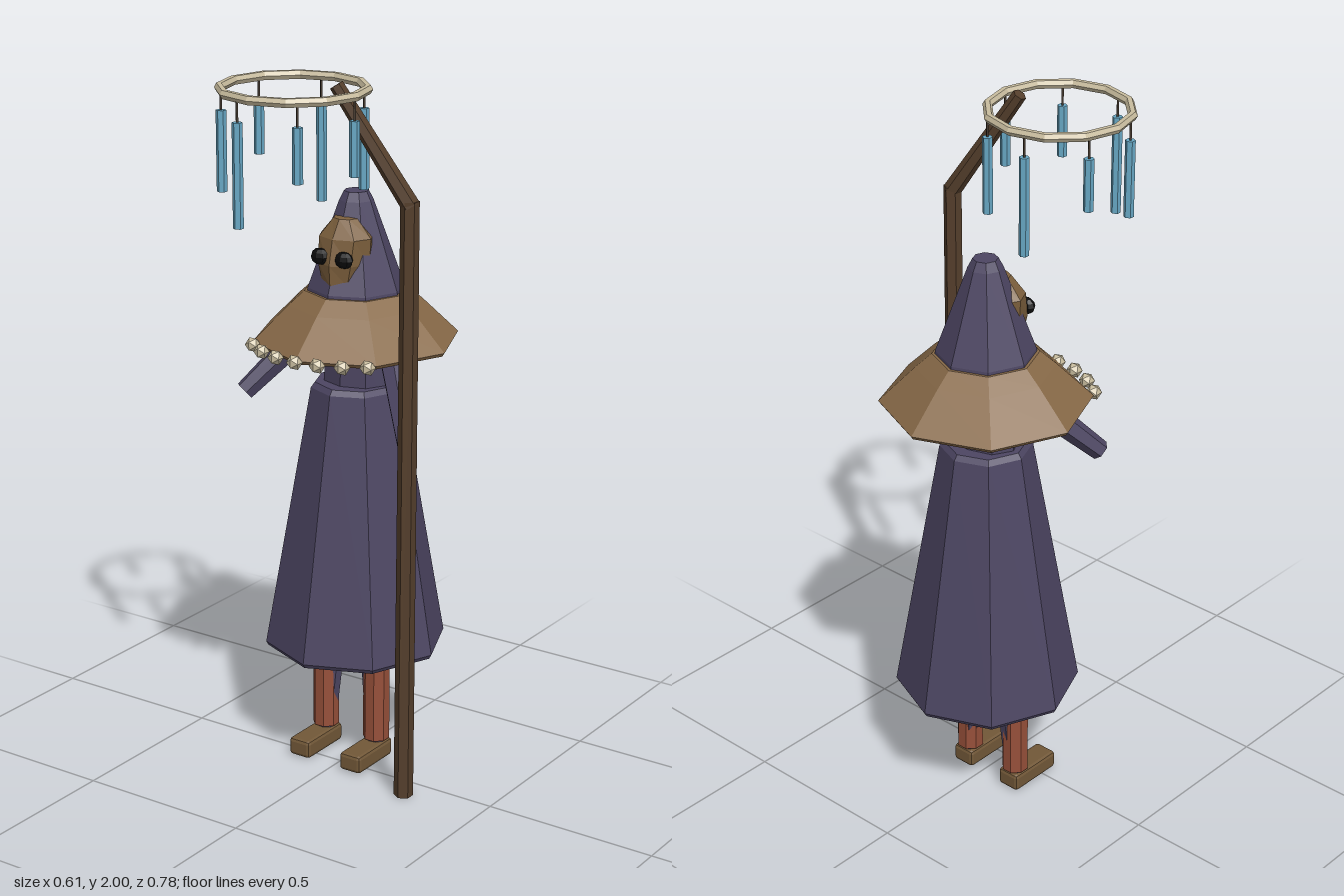
import * as THREE from 'three';
import { RoundedBoxGeometry } from 'three/addons/geometries/RoundedBoxGeometry.js';

const CX = -0.023, CZ = -0.107; // axis of the body

export function createModel() {
  const model = new THREE.Group();
  model.name = 'chimeBearer';

  const mat = (name, color) => {
    const m = new THREE.MeshStandardMaterial({ color, flatShading: true });
    m.name = name;
    return m;
  };
  const purple = mat('purple cloth', 0x4d4663);
  const tan = mat('tan hide', 0x886a48);
  const maskTan = mat('mask wood', 0x7d603d);
  const wood = mat('staff wood', 0x553f2c);
  const rust = mat('rust wraps', 0x97503a);
  const boot = mat('boot leather', 0x725838);
  const bone = mat('bone', 0xc9bd9f);
  const blue = mat('chime blue', 0x69a9c6);
  const black = mat('black', 0x0c0c0c);
  const cord = mat('cord', 0x41352a);

  const add = (name, geometry, material, x = 0, y = 0, z = 0, parent = model) => {
    const mesh = new THREE.Mesh(geometry, material);
    mesh.name = name;
    mesh.position.set(x, y, z);
    parent.add(mesh);
    return mesh;
  };

  // Eight-sided turned part around the body axis; profile runs bottom to top
  const turned = (name, profile, material) =>
    add(name, new THREE.LatheGeometry(profile.map(p => new THREE.Vector2(...p)), 8), material, CX, 0, CZ);

  // Tapered limb between two points
  const limb = (name, a, b, rA, rB, sides, material, parent) => {
    const A = new THREE.Vector3(...a), B = new THREE.Vector3(...b);
    const dir = B.clone().sub(A);
    const mid = A.clone().add(B).multiplyScalar(0.5);
    const mesh = add(name, new THREE.CylinderGeometry(rB, rA, dir.length(), sides), material, mid.x, mid.y, mid.z, parent);
    mesh.quaternion.setFromUnitVectors(new THREE.Vector3(0, 1, 0), dir.normalize());
    return mesh;
  };

  // Clothing
  turned('robe', [[0, 0.335], [0.25, 0.335], [0.257, 0.347], [0.126, 1.095], [0.115, 1.11], [0, 1.11]], purple);
  turned('torso', [[0, 1.05], [0.1, 1.05], [0.095, 1.2], [0.08, 1.3], [0, 1.3]], purple).scale.z = 0.78;
  turned('cape', [[0, 1.225], [0.28, 1.225], [0.287, 1.235], [0.187, 1.333], [0.143, 1.372], [0, 1.372]], tan);
  turned('hood', [[0, 1.35], [0.137, 1.35], [0.134, 1.38], [0.047, 1.62], [0.034, 1.645], [0, 1.645]], purple);

  // Mask: cross-sections of [height, half width, half depth]
  const sections = [[1.405, 0, 0], [1.405, 0.058, 0.078], [1.46, 0.075, 0.082], [1.53, 0.08, 0.066],
    [1.58, 0.036, 0.034], [1.585, 0, 0]];
  const maskGeo = new THREE.LatheGeometry(sections.map(s => new THREE.Vector2(s[1], s[0])), 8);
  const pos = maskGeo.attributes.position;
  for (let i = 0; i < pos.count; i++) {
    const s = sections[i % sections.length];
    if (s[1] > 0) pos.setZ(i, pos.getZ(i) * s[2] / s[1]);
  }
  add('mask', maskGeo, maskTan, CX, 0, -0.06);

  for (const s of [-1, 1]) {
    const side = s > 0 ? 'left' : 'right';
    add(side + 'Eye', new THREE.SphereGeometry(1, 8, 6), black, CX + s * 0.039, 1.48, 0.008).scale.set(0.028, 0.023, 0.02);

    // Legs and boots
    const x = CX + s * 0.087;
    limb(side + 'Trouser', [CX + s * 0.05, 0.6, CZ], [x, 0.05, -0.086], 0.045, 0.028, 8, purple);
    add(side + 'LegWrap', new THREE.CylinderGeometry(0.038, 0.038, 0.265, 8).rotateY(Math.PI / 8), rust, x, 0.193, -0.086);
    add(side + 'Boot', new RoundedBoxGeometry(0.07, 0.052, 0.17, 1, 0.01), boot, x, 0.028, -0.034);
  }

  // Arms
  limb('rightArm', [-0.11, 1.3, -0.1], [-0.262, 1.085, 0.085], 0.042, 0.028, 6, purple);
  limb('leftArm', [0.08, 1.3, -0.1], [0.253, 1.025, 0.06], 0.042, 0.028, 6, purple);

  // Beads along the front hem of the cape
  for (let i = -3; i <= 3; i++) {
    const a = i * 0.235;
    add('bead', new THREE.IcosahedronGeometry(0.022, 0), bone, CX + 0.29 * Math.sin(a), 1.233, CZ + 0.29 * Math.cos(a));
  }

  // Staff with a bent top
  limb('staffPole', [0.264, 0, 0.076], [0.279, 1.695, 0.092], 0.027, 0.025, 6, wood);
  limb('staffArm', [0.282, 1.68, 0.091], [0.095, 1.985, 0.157], 0.025, 0.019, 6, wood);

  // Ring of hanging chimes
  const chimes = new THREE.Group();
  chimes.name = 'chimes';
  chimes.position.set(CX, 0, 0.18);
  model.add(chimes);
  add('ring', new THREE.TorusGeometry(0.192, 0.013, 6, 12).rotateX(Math.PI / 2), bone, 0, 1.967, 0, chimes);
  [1.76, 1.76, 1.63, 1.69, 1.76, 1.63, 1.69].forEach((bottom, i) => {
    const a = i / 7 * Math.PI * 2, x = 0.19 * Math.cos(a), z = 0.19 * Math.sin(a);
    limb('chimeCord', [x, 1.89, z], [x, 1.967, z], 0.004, 0.004, 4, cord, chimes);
    limb('chime', [x, bottom, z], [x, 1.905, z], 0.014, 0.014, 6, blue, chimes);
  });

  return model;
}
